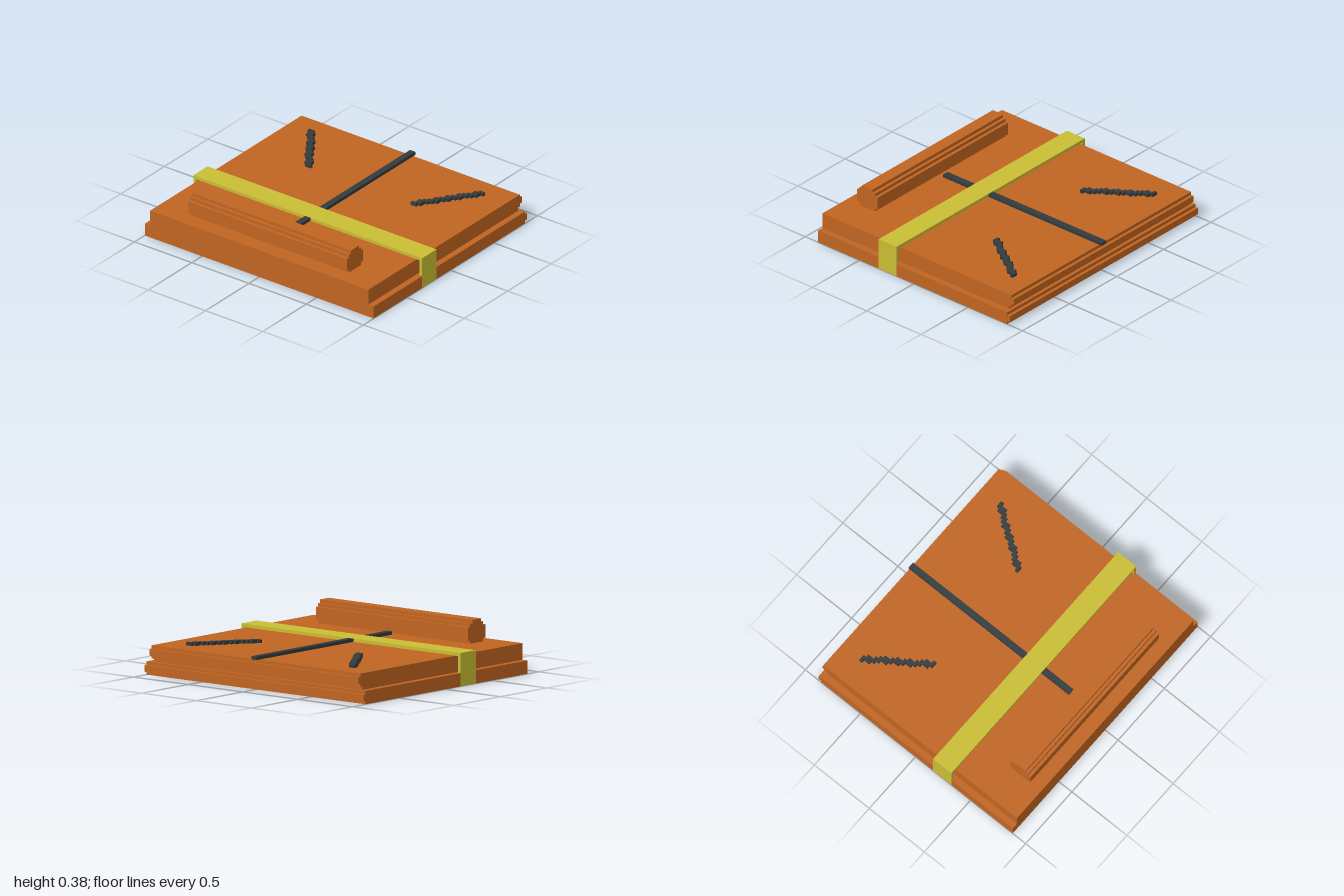
import * as THREE from 'three';

const U = 2 / 85; // one grid step: every part is built on this pitch

export function createModel() {
  const model = new THREE.Group();
  const mat = (name, color) => {
    const m = new THREE.MeshStandardMaterial({ color });
    m.name = name;
    return m;
  };
  const orange = mat('burntOrange', 0xc06521);
  const yellow = mat('strapYellow', 0xc9bd34);
  const dark = mat('charcoal', 0x333b3d);

  const add = (parent, name, geometry, material) => {
    const mesh = new THREE.Mesh(geometry, material);
    mesh.name = name;
    parent.add(mesh);
  };
  // Box given by its limits in grid steps
  const box = (parent, name, material, x0, x1, y0, y1, z0, z1) => {
    const g = new THREE.BoxGeometry((x1 - x0) * U, (y1 - y0) * U, (z1 - z0) * U);
    g.translate((x0 + x1) * U / 2, (y0 + y1) * U / 2, (z0 + z1) * U / 2);
    add(parent, name, g, material);
  };
  // Side outline of [z, y] points, extruded across the width
  const profile = (name, points, halfWidth) => {
    const shape = new THREE.Shape(points.map(([z, y]) => new THREE.Vector2(z * U, y * U)));
    const g = new THREE.ExtrudeGeometry(shape, { depth: 2 * halfWidth * U, bevelEnabled: false });
    g.translate(0, 0, -halfWidth * U);
    g.rotateY(-Math.PI / 2);
    add(model, name, g, orange);
  };

  // Two stacked slabs with a stepped back edge
  profile('lowerSlab', [
    [37.5, 0], [37.5, 4], [-36.5, 4], [-36.5, 3], [-37.5, 3],
    [-37.5, 1], [-36.5, 1], [-36.5, 0],
  ], 42.46);
  profile('upperSlab', [
    [37.5, 4], [37.5, 9], [-36.5, 9], [-36.5, 8], [-37.5, 8], [-37.5, 6],
    [-36.5, 6], [-36.5, 5], [-35.5, 5], [-35.5, 4],
  ], 40.5);

  // Rounded roll lying along the front
  profile('frontRoll', [
    [32.5, 9], [32.5, 10], [33.5, 10], [33.5, 14], [32.5, 14], [32.5, 15], [31.5, 15], [31.5, 16],
    [27.5, 16], [27.5, 15], [26.5, 15], [26.5, 14], [25.5, 14], [25.5, 10], [26.5, 10], [26.5, 9],
  ], 29.5);

  // Strap across the top and down both sides
  const strap = new THREE.Group();
  strap.name = 'strap';
  model.add(strap);
  const z0 = 6.8, z1 = 13.8;
  box(strap, 'strapTop', yellow, -42.5, 42.5, 9, 10, z0, z1);
  box(strap, 'strapLeft', yellow, 41.5, 42.5, 0, 9, z0, z1);
  box(strap, 'strapRight', yellow, -42.5, -41.5, 0, 9, z0, z1);

  // Centre bar, interrupted by the strap
  box(model, 'centreBarBack', dark, -1, 1, 9, 10, -37.5, z0);
  box(model, 'centreBarFront', dark, -1, 1, 9, 10, z1, 24.5);

  // Stepped diagonal marks
  for (const side of [1, -1]) {
    const mark = new THREE.Group();
    mark.name = side > 0 ? 'leftDiagonal' : 'rightDiagonal';
    model.add(mark);
    for (let i = 0; i < 18; i++) {
      const c = side * (19.6 + Math.round(i * 12 / 17));
      box(mark, 'diagonalStep', dark, c - 1, c + 1, 9, 10, -13 - i, -12 - i);
    }
  }
  return model;
}
